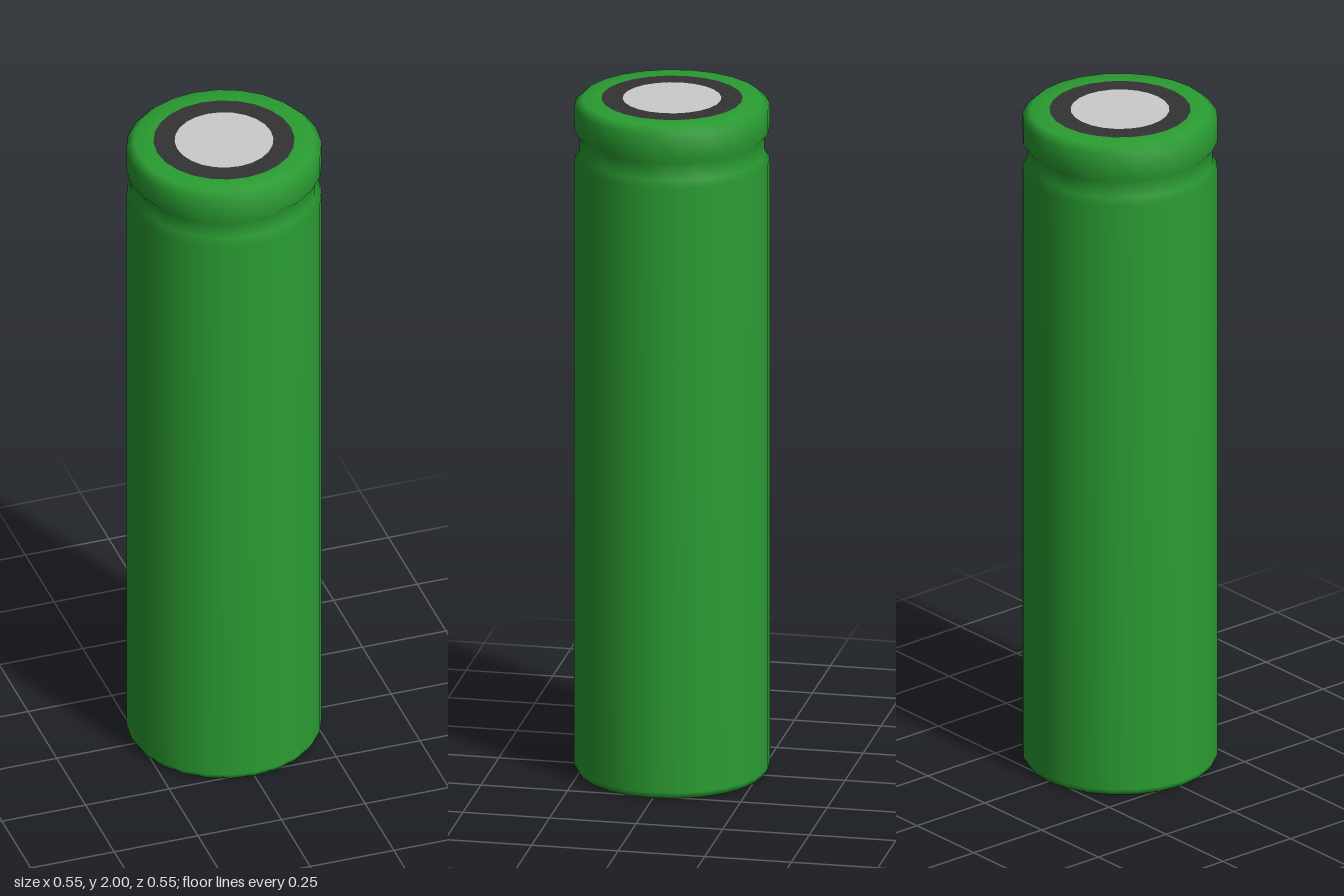
import * as THREE from 'three';

const SEGMENTS = 24;

function lathe(name, profile, color) {
  const points = profile.map(([r, y]) => new THREE.Vector2(r, y));
  const material = new THREE.MeshStandardMaterial({ color });
  const mesh = new THREE.Mesh(new THREE.LatheGeometry(points, SEGMENTS), material);
  mesh.name = name;
  return mesh;
}

export function createModel() {
  const group = new THREE.Group();
  group.name = 'batteryCell';

  // Wrapper: bevelled base, long wall, crimped groove, rounded collar, flat rim
  group.add(lathe('wrapper', [
    [0.21, 0], [0.265, 0], [0.277, 0.02],
    [0.277, 1.82], [0.262, 1.84], [0.262, 1.89], [0.277, 1.91],
    [0.277, 1.98], [0.255, 2], [0.2, 2],
  ], 0x2a9d32));

  // Dark insulating ring between wrapper and positive contact
  group.add(lathe('insulatorRing', [[0.2, 2], [0.14, 2]], 0x333333));

  // Metal contacts: top disc faces up, bottom disc faces down
  group.add(lathe('positiveContact', [[0.14, 2], [0, 2]], 0xcccccc));
  group.add(lathe('negativeContact', [[0, 0], [0.21, 0]], 0xcccccc));

  return group;
}
